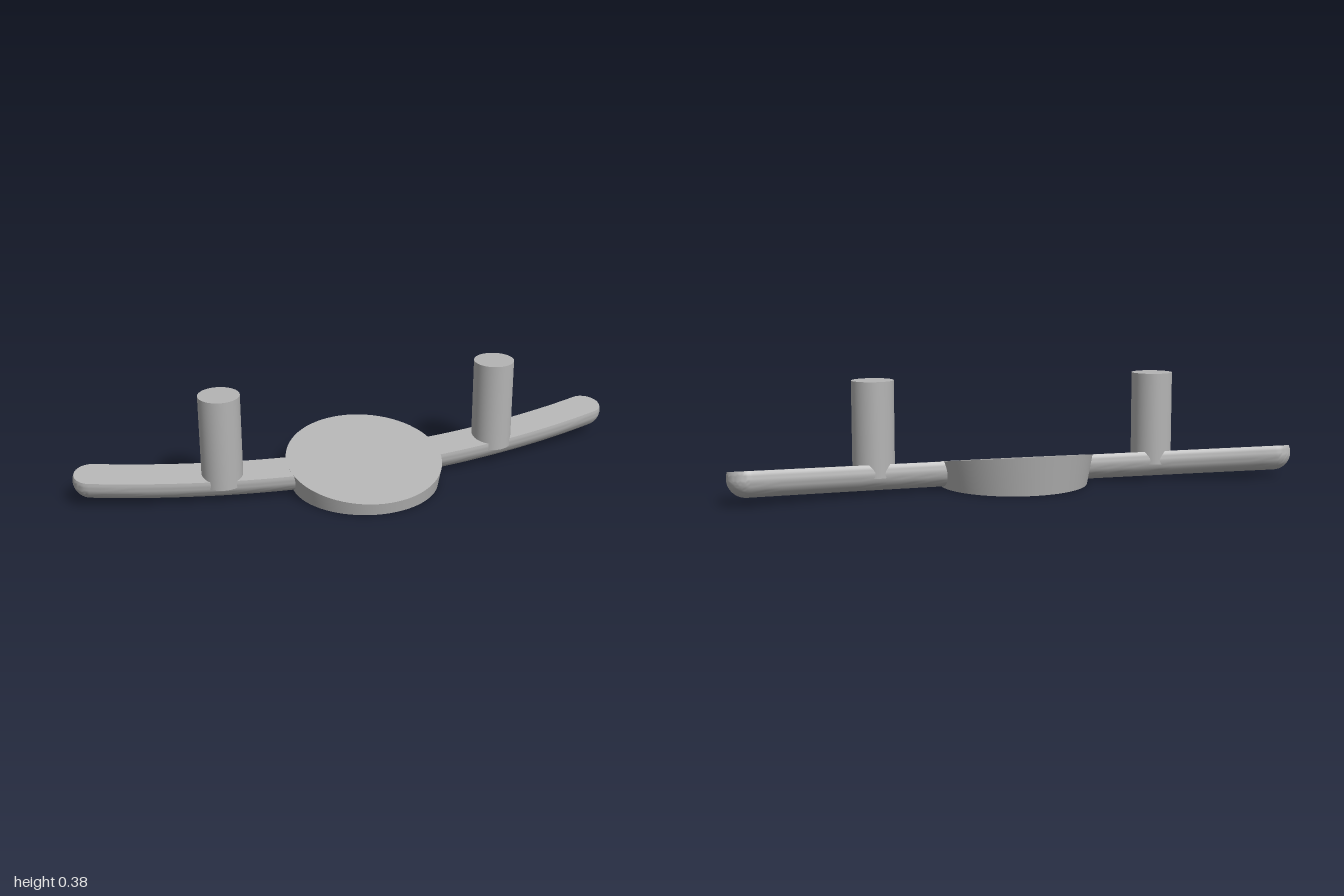
import * as THREE from 'three';
import { toCreasedNormals } from 'three/addons/utils/BufferGeometryUtils.js';

const SLOPE = 1 / 6;                         // backward rise of the top plane
const topPlane = (z) => 0.0892 - z * SLOPE;

// Flared round hub: slanted top, flat base and a round recess underneath
function hubGeometry() {
  const zc = 0.01, base = 0.26, flare = 0.18, hole = 0.185, skin = 0.02;
  // y = 0 base, 1 slanted top, 2 recess ceiling
  const profile = [[0, 2], [hole, 2], [hole, 0], [base, 0], [base, 1], [0, 1]]
    .map(([r, level]) => new THREE.Vector2(r, level));
  const geo = new THREE.LatheGeometry(profile, 72);
  const p = geo.attributes.position;
  for (let i = 0; i < p.count; i++) {
    let x = p.getX(i), z = p.getZ(i), y = 0;
    const level = Math.round(p.getY(i)), r = Math.hypot(x, z);
    if (level === 1 && r > 0.01) {
      const c = z / r;                       // where the flared wall meets the top plane
      y = (topPlane(zc) - base * c * SLOPE) / (1 + flare * c * SLOPE);
      const k = (base + flare * y) / r;
      x *= k;
      z *= k;
    } else if (level === 1) y = topPlane(zc + z);
    else if (level === 2) y = topPlane(zc + z) - skin;
    p.setXYZ(i, x, y, z + zc);
  }
  return toCreasedNormals(geo, 0.6);
}

// Curved bar: round section with a flattened top and rounded ends
function barGeometry() {
  const R = 3.27, r = 0.063, h = 0.0222, half = 0.29, arcSteps = 28, capSteps = 12;
  const rings = [];                          // [arc angle, offset along the tangent, section radius]
  for (let i = 0; i <= capSteps; i++) {
    const b = (1 - i / capSteps) * Math.PI / 2;
    rings.push([-half, -r * Math.sin(b), Math.max(r * Math.cos(b), 0.0004)]);
  }
  for (let i = 1; i < 40; i++) rings.push([-half + 2 * half * i / 40, 0, r]);
  for (let i = 0; i <= capSteps; i++) {
    const b = i / capSteps * Math.PI / 2;
    rings.push([half, r * Math.sin(b), Math.max(r * Math.cos(b), 0.0004)]);
  }
  const pos = [], index = [], n = arcSteps + 1;
  rings.forEach(([a, t, rho], k) => {
    const start = Math.asin(Math.min(1, h / rho));
    for (let j = 0; j < n; j++) {
      const f = start - (Math.PI + 2 * start) * j / arcSteps;
      const out = R + rho * Math.cos(f);
      pos.push(out * Math.sin(a) + t * Math.cos(a), rho * Math.sin(f), out * Math.cos(a) - t * Math.sin(a) - R);
      if (k < rings.length - 1) {
        const A = k * n + j, B = k * n + (j + 1) % n;
        index.push(A, B, A + n, B, B + n, A + n);
      }
    }
  });
  const geo = new THREE.BufferGeometry();
  geo.setAttribute('position', new THREE.Float32BufferAttribute(pos, 3));
  geo.setIndex(index);
  return toCreasedNormals(geo, 0.6);
}

export function createModel() {
  const grey = new THREE.MeshStandardMaterial({ color: 0xb4b4b4 });
  grey.name = 'plain grey';
  const model = new THREE.Group();
  model.name = 'twinPostBar';
  const add = (name, geo) => {
    const mesh = new THREE.Mesh(geo, grey);
    mesh.name = name;
    model.add(mesh);
    return mesh;
  };

  add('hub', hubGeometry());

  const bar = add('curvedBar', barGeometry());
  bar.position.y = 0.066;
  bar.rotation.x = Math.atan(SLOPE);

  // Upright posts, one on each arm
  const bottom = 0.058, top = 0.381;
  for (const side of [1, -1]) {
    const post = add(side > 0 ? 'leftPost' : 'rightPost',
      new THREE.CylinderGeometry(0.0715, 0.0715, top - bottom, 48));
    post.position.set(side * 0.503, (top + bottom) / 2, -0.032);
  }
  return model;
}
